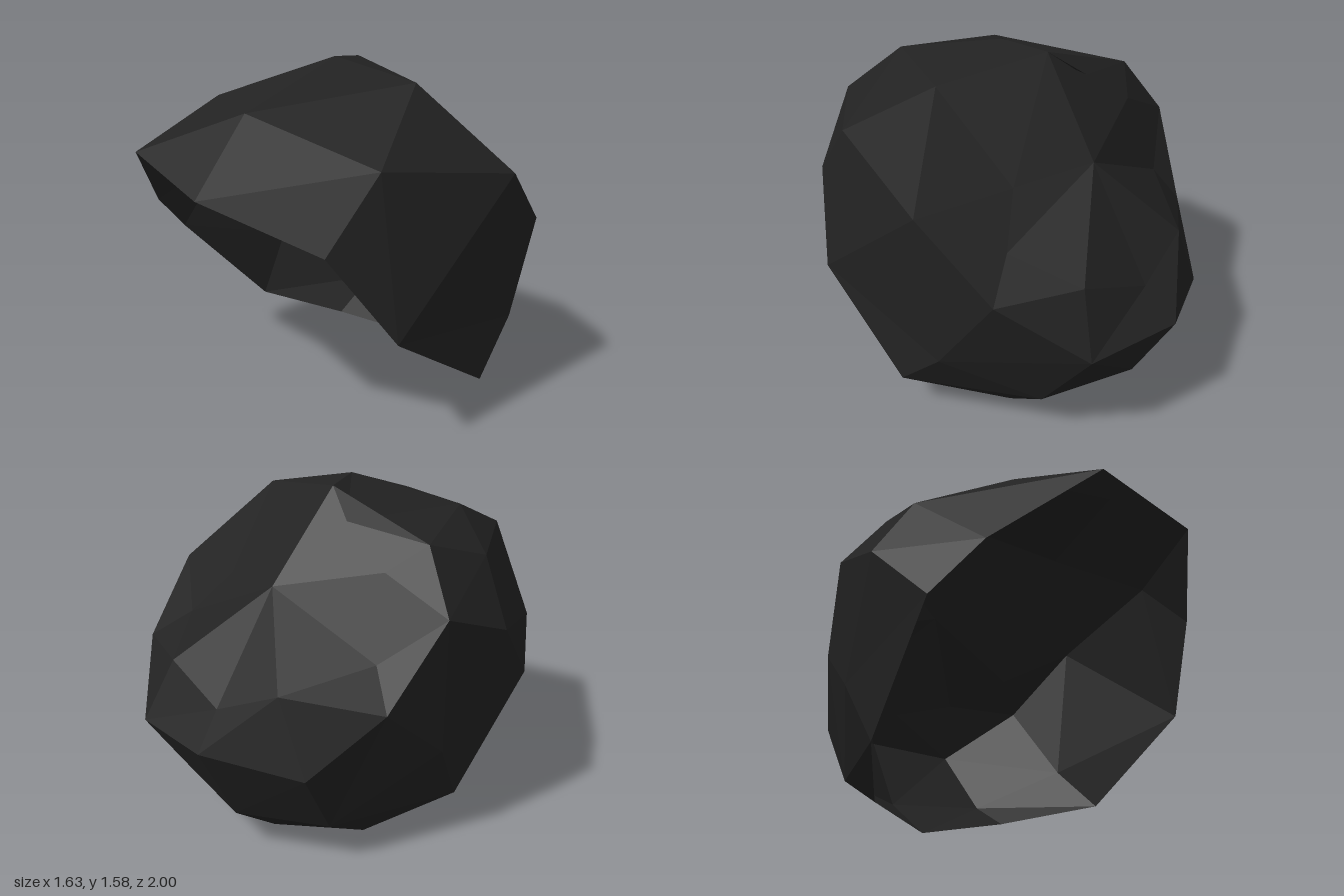
import * as THREE from 'three';

// Faceted open shell, built from loops of points that run round it from the rim to the back.
// Each loop starts at the front and goes round by +x; repeated points close a facet to a triangle.

const rim = [
  [-0.3, 1.23, 0.93], [0.2, 1.13, 1.0], [0.6, 0.92, 0.7], [0.78, 0.54, 0.47],
  [0.8, 0.19, -0.08], [0.49, 0.11, -0.47], [0.02, 0, -0.55], [-0.39, 0.05, -0.4],
  [-0.67, 0.19, -0.07], [-0.77, 0.67, 0.38], [-0.66, 0.88, 0.6],
];
const sideLoop = [
  [-0.34, 1.41, 0.45], [0.1, 1.41, 0.66], [0.64, 1.22, 0.43], [0.81, 1.12, -0.25],
  [0.78, 0.42, -0.32], [0.49, 0.23, -0.66], [0.02, 0.19, -0.8], [-0.39, 0.2, -0.65],
  [-0.7, 0.49, -0.25], [-0.82, 0.99, 0.05], [-0.66, 1.28, 0.13],
];
const crownLoop = [
  [-0.2, 1.44, -0.27], [0.01, 1.58, 0.05], [0.45, 1.5, 0], [0.81, 1.12, -0.25],
  [0.72, 0.82, -0.6], [0.46, 0.56, -0.9], [0.02, 0.57, -1], [-0.4, 0.5, -0.82],
  [-0.61, 0.75, -0.55], [-0.74, 1.12, -0.31], [-0.57, 1.38, -0.2],
];
const backLoop = [
  [-0.05, 1.56, -0.17], [-0.05, 1.56, -0.17], [0.38, 1.14, -0.38], [0.54, 0.95, -0.5],
  [0.38, 0.83, -0.78], [0.05, 0.71, -0.85], [-0.25, 0.83, -0.8], [-0.25, 0.83, -0.8],
  [-0.5, 0.92, -0.47], [-0.44, 1.27, -0.33], [-0.44, 1.27, -0.33],
];
const backCentre = [0.02, 1.17, -0.51];

const toVectors = (loop) => loop.map((p) => new THREE.Vector3(...p));
const middle = new THREE.Vector3(0, 0.8, -0.1);

// Adds one triangle unless two of its corners coincide
function addTriangle(out, a, b, c) {
  if (a.equals(b) || b.equals(c) || c.equals(a)) return;
  for (const p of [a, b, c]) out.push(p.x, p.y, p.z);
}

// Joins two loops, folding each four-sided facet along its more outward diagonal
function bridge(out, lower, upper) {
  lower.forEach((a, i) => {
    const j = (i + 1) % lower.length;
    const b = lower[j], c = upper[j], d = upper[i];
    const reach = (p, q) => p.clone().add(q).multiplyScalar(0.5).distanceTo(middle);
    if (reach(a, c) > reach(b, d)) {
      addTriangle(out, a, b, c);
      addTriangle(out, a, c, d);
    } else {
      addTriangle(out, a, b, d);
      addTriangle(out, b, c, d);
    }
  });
}

// Closes the last loop to a single point
function closeLoop(out, loop, tip) {
  loop.forEach((a, i) => addTriangle(out, a, loop[(i + 1) % loop.length], tip));
}

function makeMesh(name, positions, material) {
  const geometry = new THREE.BufferGeometry();
  geometry.setAttribute('position', new THREE.Float32BufferAttribute(positions, 3));
  geometry.computeVertexNormals();
  const mesh = new THREE.Mesh(geometry, material);
  mesh.name = name;
  return mesh;
}

export function createModel() {
  const group = new THREE.Group();
  group.name = 'hairCap';
  const charcoal = new THREE.MeshStandardMaterial({
    color: 0x222222, flatShading: true, side: THREE.DoubleSide,
  });
  charcoal.name = 'charcoal';

  const [edge, sides, crown, back] = [rim, sideLoop, crownLoop, backLoop].map(toVectors);

  // Band along the open rim
  const rimBand = [];
  bridge(rimBand, edge, sides);
  group.add(makeMesh('rimBand', rimBand, charcoal));

  // Sides and top
  const crownBand = [];
  bridge(crownBand, sides, crown);
  group.add(makeMesh('crownBand', crownBand, charcoal));

  // Sloping back with its dents
  const backPanel = [];
  bridge(backPanel, crown, back);
  closeLoop(backPanel, back, new THREE.Vector3(...backCentre));
  group.add(makeMesh('backPanel', backPanel, charcoal));

  return group;
}
